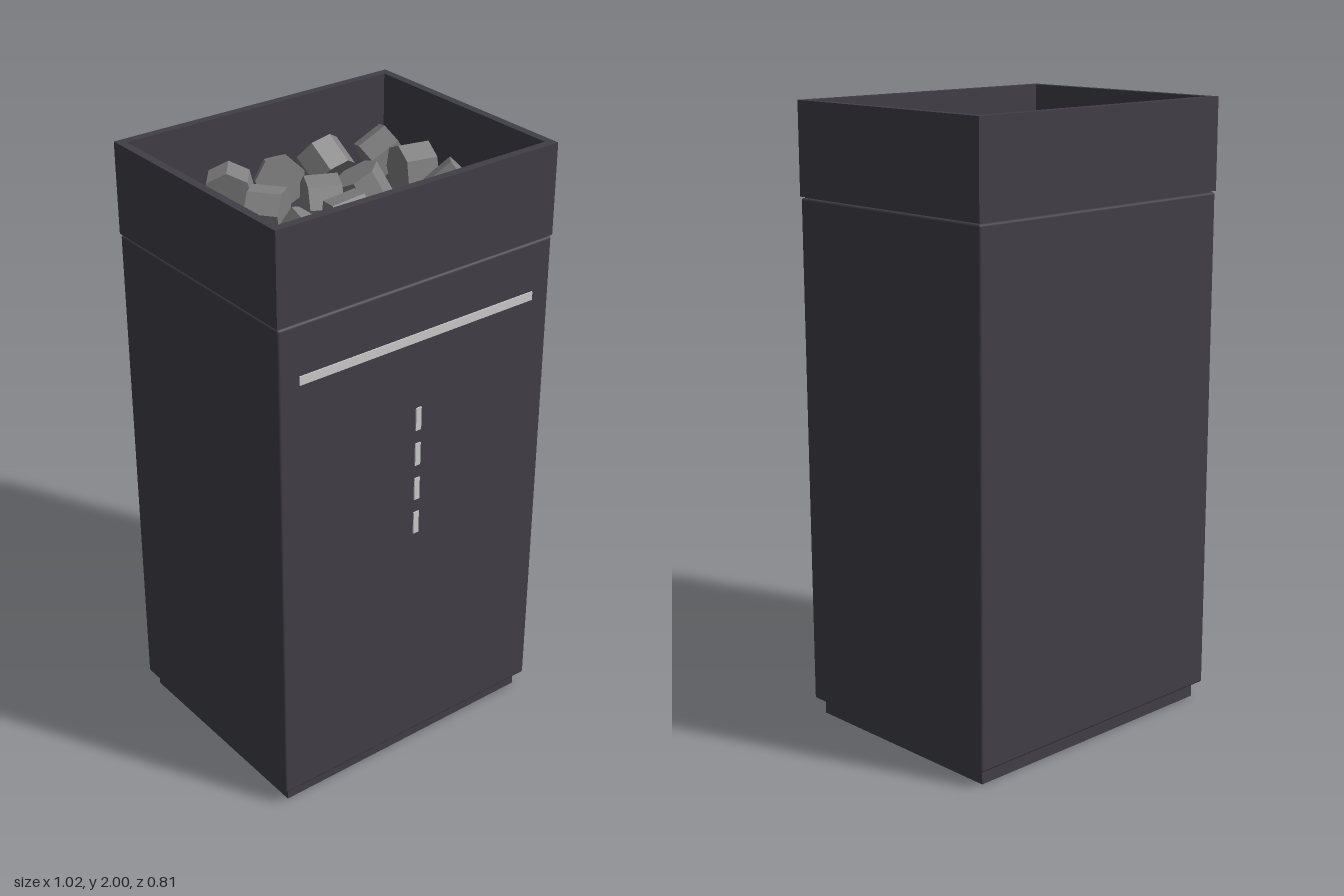
import * as THREE from 'three';
import { RoundedBoxGeometry } from 'three/addons/geometries/RoundedBoxGeometry.js';

const ZC = -0.002; // centre of the cabinet in depth

// Each stone: x, z, then the direction of its prism axis
const STONES = [
  [-0.385, -0.28, -0.5, 0.75, 0.4], [-0.185, -0.295, -0.62, 0, 0.78],
  [0.015, -0.305, -0.5, 0.3, 0.8], [0.19, -0.305, -0.1, 0.6, -0.75],
  [0.39, -0.265, 0.8, 0.5, 0.2], [-0.39, -0.115, -0.55, 0.2, 0.8],
  [-0.185, -0.095, 0.6, 0, 0.75], [0.015, -0.09, 0.9, 0, 0.42],
  [0.17, -0.09, -0.35, 0.85, -0.3], [0.38, -0.1, 0.97, 0, 0.22],
  [-0.405, 0.09, 0.3, 0.3, 0.9], [-0.19, 0.095, 0.5, 0.75, 0.2],
  [-0.02, 0.09, 0.95, 0.2, 0.2], [0.17, 0.085, 0.05, 0.85, -0.45],
  [0.375, 0.095, 0.5, 0.5, 0.3], [-0.4, 0.29, 0.68, 0.1, -0.72],
  [-0.21, 0.29, -0.55, 0.75, -0.1], [0.01, 0.29, 0.25, 0.3, 0.9],
  [0.2, 0.255, 0.4, 0.3, 0.9], [0.375, 0.26, -0.6, 0.6, 0.3],
];

export function createModel() {
  const model = new THREE.Group();
  model.name = 'stoneTopPedestal';
  const dark = new THREE.MeshStandardMaterial({ color: 0x413f46 });
  const light = new THREE.MeshStandardMaterial({ color: 0xcccccc });
  const stone = new THREE.MeshStandardMaterial({ color: 0x808080, flatShading: true });

  const add = (name, geometry, material, x, y, z, parent = model) => {
    const mesh = new THREE.Mesh(geometry, material);
    mesh.name = name;
    mesh.position.set(x, y, z);
    parent.add(mesh);
    return mesh;
  };

  // Recessed plinth and softly rounded cabinet
  add('plinth', new THREE.BoxGeometry(0.97, 0.06, 0.75), dark, 0, 0.03, ZC);
  add('cabinet', new RoundedBoxGeometry(1.02, 1.65, 0.802, 2, 0.008), dark, 0, 0.877, ZC);

  // Open collar: a rectangular ring extruded upward
  const rect = (Path, hx, hz) => new Path().moveTo(-hx, -hz).lineTo(hx, -hz)
    .lineTo(hx, hz).lineTo(-hx, hz).closePath();
  const ring = rect(THREE.Shape, 0.512, 0.401);
  ring.holes.push(rect(THREE.Path, 0.485, 0.373));
  const collar = new THREE.ExtrudeGeometry(ring, { depth: 0.294, bevelEnabled: false });
  collar.rotateX(-Math.PI / 2);
  add('collar', collar, dark, 0, 1.706, ZC);
  add('trayFloor', new THREE.BoxGeometry(1.0, 0.02, 0.78), dark, 0, 1.698, ZC);

  // Front trim: a long bar above a column of dashes
  add('frontBar', new THREE.BoxGeometry(0.88, 0.028, 0.01), light, 0, 1.525, 0.398);
  const dashes = new THREE.Group();
  dashes.name = 'frontDashes';
  model.add(dashes);
  for (let i = 0; i < 4; i++) {
    add('dash', new THREE.BoxGeometry(0.02, 0.077, 0.01), light, 0, 0.88 + i * 0.123, 0.398, dashes);
  }

  // Tumbled seven-sided stones in the tray
  const stones = new THREE.Group();
  stones.name = 'stones';
  model.add(stones);
  const stoneGeometry = new THREE.CylinderGeometry(0.08, 0.08, 0.105, 7);
  const up = new THREE.Vector3(0, 1, 0);
  STONES.forEach(([x, z, ax, ay, az], i) => {
    const y = 1.785 + 0.01 * Math.sin(i * 2.3);
    const mesh = add('stone', stoneGeometry, stone, x, y, z, stones);
    mesh.quaternion.setFromUnitVectors(up, new THREE.Vector3(ax, ay, az).normalize());
    mesh.rotateY(i * 0.7);
  });

  return model;
}
